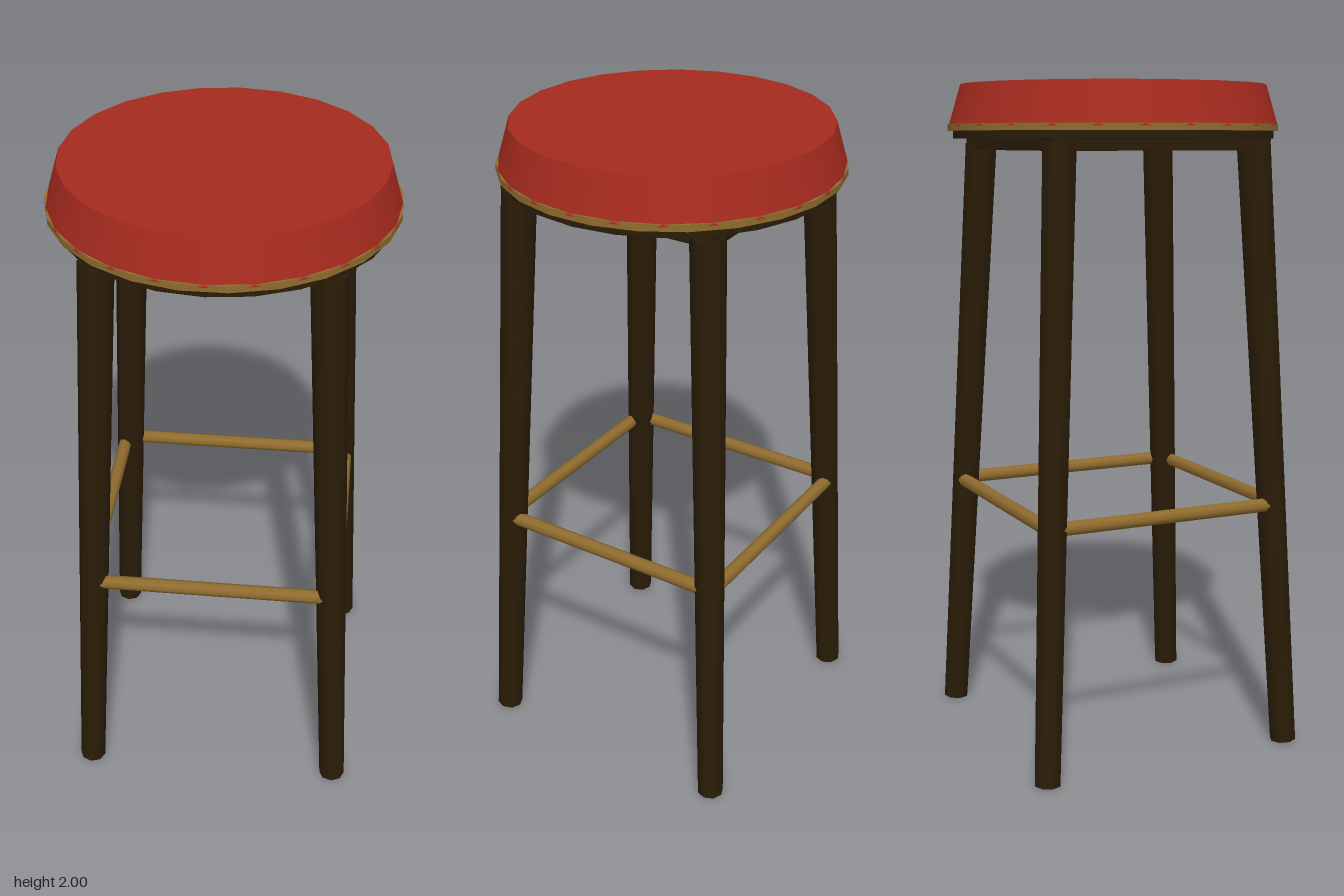
import * as THREE from 'three';

const red = new THREE.MeshStandardMaterial({ color: 0xa52a1e });
red.name = 'red cushion';
const wood = new THREE.MeshStandardMaterial({ color: 0x2a1c07 });
wood.name = 'dark wood';
const brass = new THREE.MeshStandardMaterial({ color: 0x906c2e });
brass.name = 'brass';

const UP = new THREE.Vector3(0, 1, 0);

function add(group, name, geometry, material, y = 0) {
  const mesh = new THREE.Mesh(geometry, material);
  mesh.name = name;
  mesh.position.y = y;
  group.add(mesh);
  return mesh;
}

// Upright 24-sided disc between two heights
function disc(group, name, rTop, rBottom, y0, y1, material) {
  return add(group, name, new THREE.CylinderGeometry(rTop, rBottom, y1 - y0, 24), material, (y0 + y1) / 2);
}

// Round bar running from point a to point b
function bar(group, name, a, b, rA, rB, material) {
  const dir = b.clone().sub(a);
  const mesh = add(group, name, new THREE.CylinderGeometry(rB, rA, dir.length(), 8), material);
  mesh.position.copy(a).add(b).multiplyScalar(0.5);
  mesh.quaternion.setFromUnitVectors(UP, dir.normalize());
  return mesh;
}

export function createModel() {
  const stool = new THREE.Group();
  stool.name = 'barStool';

  // Seat: tapered cushion, trim ring turned half a facet, wooden base and square mount
  disc(stool, 'cushion', 0.458, 0.495, 1.876, 2, red);
  disc(stool, 'trimRing', 0.497, 0.497, 1.864, 1.884, brass).rotation.y = Math.PI / 24;
  disc(stool, 'seatBase', 0.482, 0.482, 1.842, 1.866, wood);
  add(stool, 'mount', new THREE.BoxGeometry(0.69, 0.036, 0.69), wood, 1.826);

  // Four splayed legs, wider at the top
  for (const sx of [-1, 1]) {
    for (const sz of [-1, 1]) {
      bar(stool, 'leg',
        new THREE.Vector3(sx * 0.397, 0.003, sz * 0.397),
        new THREE.Vector3(sx * 0.309, 1.826, sz * 0.309), 0.04, 0.051, wood);
    }
  }

  // Square ring of foot rails
  for (let i = 0; i < 4; i++) {
    const turn = i * Math.PI / 2;
    const a = new THREE.Vector3(-0.37, 0.753, 0.375).applyAxisAngle(UP, turn);
    const b = new THREE.Vector3(0.37, 0.753, 0.375).applyAxisAngle(UP, turn);
    bar(stool, 'footRail', a, b, 0.021, 0.021, brass);
  }
  return stool;
}
